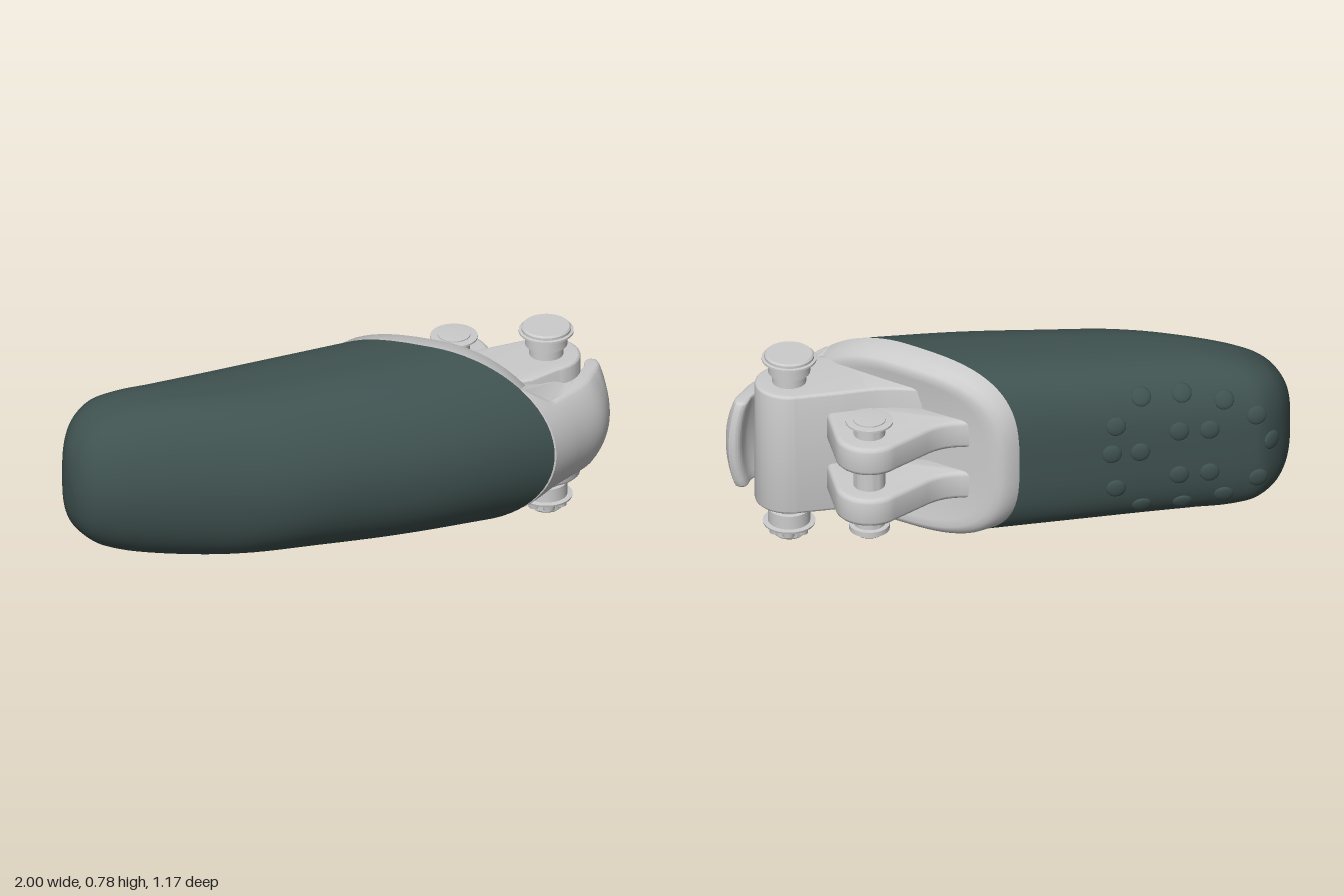
import * as THREE from 'three';
import { toCreasedNormals } from 'three/addons/utils/BufferGeometryUtils.js';

const YC = 0.405;
const rubber = new THREE.MeshStandardMaterial({ color: 0x3f5250 });
const metal = new THREE.MeshStandardMaterial({ color: 0xcccccc });

// Body stations: back edge x,z, front edge x,z, half height
const STATIONS = [
  [0.09, -0.28, 0.58, 0.575, 0.37],
  [-0.2, -0.385, 0.22, 0.47, 0.357],
  [-0.45, -0.47, -0.1, 0.338, 0.345],
  [-0.62, -0.53, -0.4, 0.2, 0.335],
  [-0.72, -0.565, -0.63, 0.03, 0.323],
  [-0.79, -0.583, -0.8, -0.1, 0.3],
  [-0.87, -0.56, -0.9, -0.183, 0.26],
  [-0.93, -0.515, -0.957, -0.24, 0.205],
  [-0.97, -0.46, -0.985, -0.285, 0.14],
  [-0.99, -0.41, -0.997, -0.325, 0.07],
  [-1, -0.365, -1, -0.365, 0],
];
const backEdge = new THREE.CatmullRomCurve3(STATIONS.map((s) => new THREE.Vector3(s[0], s[4], s[1])));
const frontEdge = new THREE.CatmullRomCurve3(STATIONS.map((s) => new THREE.Vector3(s[2], s[4], s[3])));

// Cross-section: round at the front, boxier on the back
function section(a) {
  const c = Math.cos(a), s = Math.sin(a);
  if (c >= 0) return [c, s];
  const e = 2 / 3.1;
  return [-Math.pow(-c, e), Math.sign(s) * Math.pow(Math.abs(s), e)];
}

function bodyPoint(t, a) {
  const b = backEdge.getPoint(t), f = frontEdge.getPoint(t);
  const [c, s] = section(a);
  const p = b.clone().add(f).multiplyScalar(0.5).addScaledVector(f.clone().sub(b), c / 2);
  p.y = YC + Math.max(0, b.y) * s;
  return p;
}

// Closed skin over a series of rings
function loft(rows, cols, point) {
  const pos = [], idx = [];
  for (let i = 0; i <= rows; i++)
    for (let j = 0; j < cols; j++) pos.push(...point(i, (j / cols) * Math.PI * 2).toArray());
  for (let i = 0; i < rows; i++)
    for (let j = 0; j < cols; j++) {
      const k = (j + 1) % cols;
      const a = i * cols + j, b = i * cols + k, c = a + cols, d = b + cols;
      idx.push(a, b, c, b, d, c);
    }
  const g = new THREE.BufferGeometry();
  g.setAttribute('position', new THREE.Float32BufferAttribute(pos, 3));
  g.setIndex(idx);
  g.computeVertexNormals();
  return g;
}

// Plan shape (x, z) extruded between two heights with a soft edge
function slab(shape, y0, y1, bevel, steps = 1) {
  const g = new THREE.ExtrudeGeometry(shape, {
    depth: y1 - y0 - 2 * bevel, steps, curveSegments: 24,
    bevelThickness: bevel, bevelSize: bevel, bevelOffset: -bevel, bevelSegments: 3,
  });
  g.rotateX(Math.PI / 2);
  g.translate(0, y1 - bevel, 0);
  return g;
}

const v2 = (list) => list.map(([x, y]) => new THREE.Vector2(x, y));

export function createModel() {
  const root = new THREE.Group();
  const add = (name, geometry, material, parent = root) => {
    const m = new THREE.Mesh(geometry, material);
    m.name = name;
    parent.add(m);
    return m;
  };

  // Rubber fingertip
  add('rubberTip', loft(60, 72, (i, a) => bodyPoint(i / 60, a)), rubber);

  // Grip bumps, set on the back pad at x and height above or below the middle
  const bumps = new THREE.Group();
  bumps.name = 'gripBumps';
  root.add(bumps);
  const spots = [[-0.24, 0], [-0.35, 0], [-0.83, 0]];
  for (const [x, h] of [[-0.26, 0.135], [-0.48, 0.095], [-0.6, 0.095], [-0.37, 0.235],
    [-0.51, 0.235], [-0.66, 0.205], [-0.77, 0.135]]) spots.push([x, h], [x, -h]);
  const bumpShape = new THREE.SphereGeometry(0.038, 20, 12).scale(1, 1, 0.33);
  for (const [x, h] of spots) {
    let best = Infinity, bt = 0, ba = 0;
    for (let t = 0.1; t < 0.95; t += 0.008)
      for (let a = Math.PI * 0.52; a < Math.PI * 1.48; a += 0.03) {
        const p = bodyPoint(t, a), d = (p.x - x) ** 2 + (p.y - YC - h) ** 2;
        if (d < best) [best, bt, ba] = [d, t, a];
      }
    const p = bodyPoint(bt, ba);
    const da = bodyPoint(bt, ba + 0.03).sub(bodyPoint(bt, ba - 0.03));
    const dt = bodyPoint(bt + 0.01, ba).sub(bodyPoint(bt - 0.01, ba));
    const m = add('gripBump', bumpShape, rubber, bumps);
    m.position.copy(p);
    m.quaternion.setFromUnitVectors(new THREE.Vector3(0, 0, 1), da.cross(dt).normalize());
  }

  // Metal end cap: rings of [offset outward, scale], from the face centre to the rubber
  const rim = [[0.085, 0], [0.095, 0.5], [0.108, 0.8], [0.113, 0.87], [0.105, 0.92], [0.08, 0.965], [0, 1]];
  const centre = new THREE.Vector3(0.335, YC, 0.1475);
  const cap = loft(rim.length - 1, 72, (i, a) => {
    const [o, k] = rim[i];
    const c = section(a)[0] * k;
    const p = bodyPoint(0, a).sub(centre).multiplyScalar(k).add(centre);
    const off = o * (1 - 0.45 * c * c);
    return p.add(new THREE.Vector3(off * 0.867, 0, -off * 0.5));
  });
  add('endCap', toCreasedNormals(cap, 0.7), metal);

  // Main hinge block with a rounded barrel end
  const block = new THREE.Shape();
  block.moveTo(0.16, -0.17);
  block.splineThru(v2([[0.33, -0.02], [0.48, 0.075], [0.65, 0.125], [0.805, 0.17]]));
  block.absarc(0.77, 0.295, 0.13, -1.3, 1.9, false);
  block.lineTo(0.6, 0.42);
  block.lineTo(0.45, 0.36);
  add('hingeBlock', toCreasedNormals(slab(block, 0.15, 0.66, 0.012), 0.6), metal);

  // Curved front lip: flares at its root and follows the rounded rim of the cap
  const lipShape = new THREE.Shape();
  lipShape.moveTo(0.57, 0.565);
  lipShape.lineTo(0.585, 0.58);
  lipShape.splineThru(v2([[0.72, 0.555], [0.86, 0.522], [0.94, 0.465], [0.985, 0.4], [1, 0.35]]));
  lipShape.splineThru(v2([[0.985, 0.33], [0.955, 0.335], [0.9, 0.385], [0.8, 0.43]]));
  lipShape.lineTo(0.6, 0.42);
  lipShape.lineTo(0.52, 0.4);
  const lip = slab(lipShape, 0.222, 0.59, 0.012, 14);
  const lp = lip.attributes.position;
  const ease = THREE.MathUtils.smoothstep;
  for (let i = 0; i < lp.count; i++) {
    const x = lp.getX(i), z = lp.getZ(i);
    const dy = (lp.getY(i) - YC) * (1 + 0.5 * (1 - ease(x, 0.55, 0.67)));
    const drop = 1 - Math.sqrt(1 - (dy / 0.37) ** 2);
    lp.setXYZ(i, x - 0.25 * drop, YC + dy, z - 0.43 * drop * ease(z, 0.35, 0.5));
  }
  lip.computeVertexNormals();
  add('frontLip', toCreasedNormals(lip, 0.6), metal);

  // Pair of rear lugs
  const lug = new THREE.Shape();
  lug.moveTo(0.15, -0.21);
  lug.lineTo(0.27, -0.16);
  lug.quadraticCurveTo(0.34, -0.125, 0.42, -0.15);
  lug.absarc(0.62, -0.07, 0.13, -1.95, 0.3, false);
  lug.lineTo(0.695, 0.13);
  lug.lineTo(0.65, 0.2);
  lug.lineTo(0.4, 0.1);
  for (const y of [0.24, 0.46])
    add('rearLug', toCreasedNormals(slab(lug, y, y + 0.115, 0.018), 0.6), metal);

  // Turned pins: profiles of radius and height
  const pin = (name, x, z, profile) => {
    const g = toCreasedNormals(new THREE.LatheGeometry(v2(profile), 40), 0.6);
    add(name, g, metal).position.set(x, 0, z);
  };
  pin('mainPin', 0.77, 0.295, [
    [0, 0], [0.055, 0], [0.064, 0.008], [0.064, 0.045], [0.098, 0.047], [0.1, 0.055],
    [0.08, 0.057], [0.08, 0.112], [0.065, 0.114], [0.065, 0.7], [0.08, 0.702], [0.08, 0.752],
    [0.104, 0.754], [0.104, 0.762], [0.094, 0.764], [0.094, 0.774], [0.088, 0.78], [0, 0.78],
  ]);
  pin('rearPin', 0.62, -0.07, [
    [0, 0.148], [0.054, 0.148], [0.06, 0.153], [0.06, 0.163], [0.077, 0.165], [0.077, 0.186],
    [0.06, 0.188], [0.06, 0.575], [0.06, 0.622], [0.09, 0.626], [0.09, 0.633], [0.062, 0.635],
    [0.062, 0.64], [0, 0.64],
  ]);

  // Small tabs on the nut under the main pin
  for (let i = 0; i < 6; i++) {
    const a = (i / 6) * Math.PI * 2;
    const tab = add('nutTab', new THREE.CylinderGeometry(0.026, 0.022, 0.03, 16), metal);
    tab.position.set(0.77 + 0.058 * Math.cos(a), 0.032, 0.295 + 0.058 * Math.sin(a));
  }
  return root;
}
